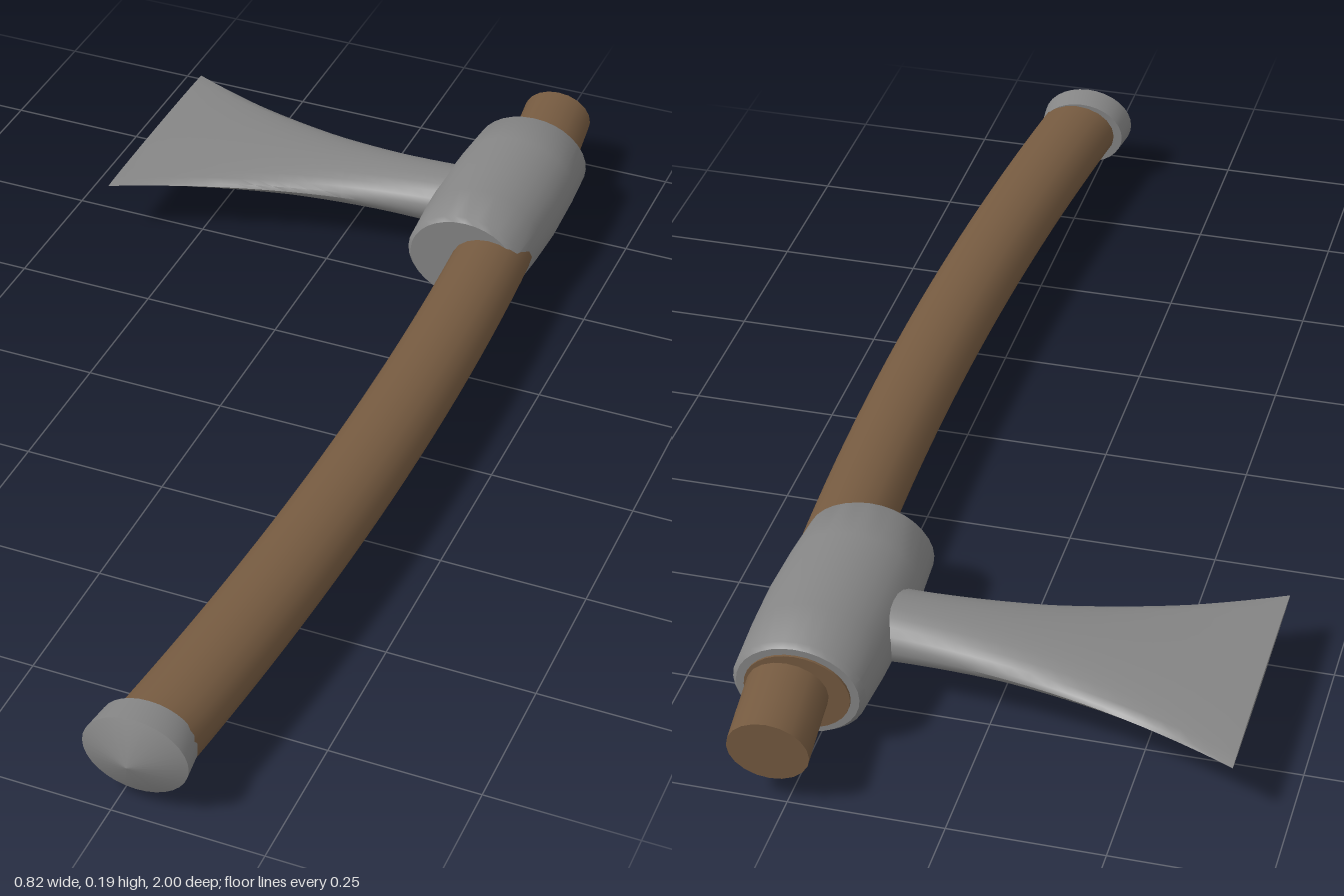
import * as THREE from 'three';
import { toCreasedNormals } from 'three/addons/utils/BufferGeometryUtils.js';

const CREASE = 0.6;
const MID_Y = 0.094;

// Closed loft through elliptical rings; ring(t) gives { c, u, v } with u x v along the path.
function loft(ring, steps, sides) {
  const pos = [], index = [];
  for (let i = 0; i <= steps; i++) {
    const { c, u, v } = ring(i / steps);
    for (let j = 0; j < sides; j++) {
      const a = (j / sides) * Math.PI * 2;
      const p = c.clone().addScaledVector(u, Math.cos(a)).addScaledVector(v, Math.sin(a));
      pos.push(p.x, p.y, p.z);
    }
  }
  const first = pos.length / 3, last = first + 1;
  for (const t of [0, 1]) pos.push(...ring(t).c.toArray());
  for (let j = 0; j < sides; j++) {
    const k = (j + 1) % sides;
    for (let i = 0; i < steps; i++) {
      const a = i * sides + j, b = i * sides + k;
      index.push(a, b, b + sides, a, b + sides, a + sides);
    }
    index.push(first, k, j, last, steps * sides + j, steps * sides + k);
  }
  const g = new THREE.BufferGeometry();
  g.setAttribute('position', new THREE.Float32BufferAttribute(pos, 3));
  g.setIndex(index);
  return toCreasedNormals(g, CREASE);
}

// Turned part lying along z, flattened in height; profile is [radius, z] pairs.
function turned(profile, flatten, x) {
  const g = new THREE.LatheGeometry(profile.map(([r, z]) => new THREE.Vector2(r, z)), 32);
  g.rotateX(Math.PI / 2);
  g.scale(1, flatten, 1);
  g.translate(x, MID_Y, 0);
  return toCreasedNormals(g, CREASE);
}

export function createModel() {
  const group = new THREE.Group();
  const wood = new THREE.MeshStandardMaterial({ name: 'wood', color: 0x755a40 });
  const steel = new THREE.MeshStandardMaterial({ name: 'steel', color: 0x858585 });
  const add = (name, geometry, material) => {
    const mesh = new THREE.Mesh(geometry, material);
    mesh.name = name;
    group.add(mesh);
  };

  // Gently bowed oval handle, slightly thicker toward the pommel
  add('handle', loft((t) => {
    const z = -1 + 1.94 * t;
    return {
      c: new THREE.Vector3(0.338 - 0.062 * z * z, MID_Y + 0.001, z),
      u: new THREE.Vector3(0.066 + 0.008 * t, 0, 0),
      v: new THREE.Vector3(0, 0.052 + 0.006 * t, 0),
    };
  }, 32, 20), wood);

  // Barrel-shaped socket around the handle
  add('socket', turned([
    [0, -0.85], [0.1, -0.85], [0.108, -0.84], [0.114, -0.75], [0.117, -0.655],
    [0.114, -0.56], [0.108, -0.47], [0.1, -0.46], [0, -0.46],
  ], 0.797, 0.278), steel);

  // Wooden plug showing at the back of the socket
  add('socketPlug', turned([
    [0, -0.854], [0.086, -0.854], [0.086, -0.849], [0, -0.849],
  ], 0.797, 0.278), wood);

  // Blade thins to its cutting edge while flaring outward
  add('blade', loft((t) => ({
    c: new THREE.Vector3(0.22 - 0.632 * t, MID_Y + 0.001, -0.658 + 0.007 * t),
    u: new THREE.Vector3(0, 0, 0.071 + 0.146 * t * t),
    v: new THREE.Vector3(0, 0.052 - 0.048 * t, 0),
  }), 20, 24), steel);

  // Pommel cap with a shallow pointed end
  add('pommel', turned([
    [0, 0.915], [0.081, 0.915], [0.087, 0.968], [0, 1],
  ], 0.785, 0.277), steel);

  return group;
}
